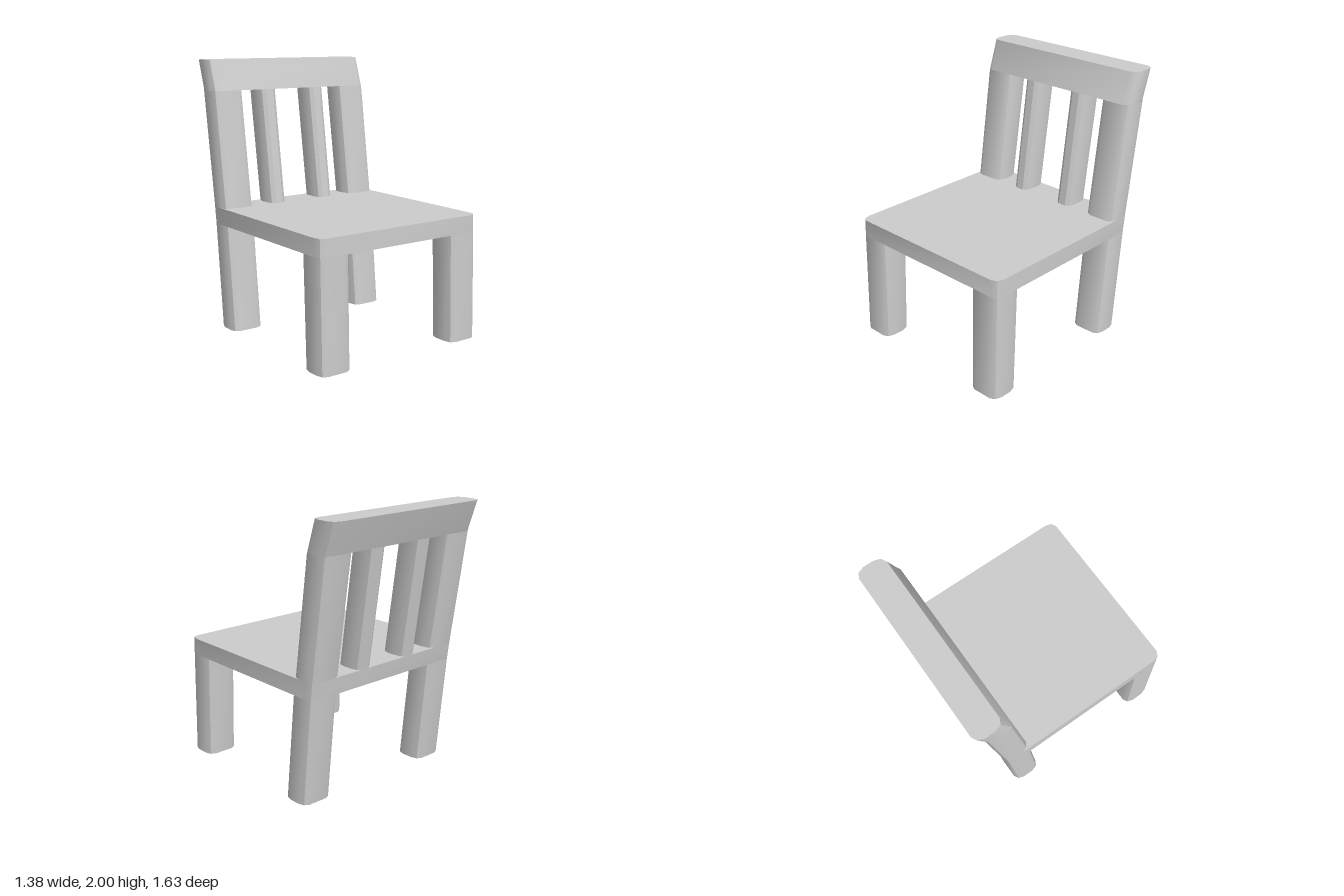
import * as THREE from 'three';
import { toCreasedNormals } from 'three/addons/utils/BufferGeometryUtils.js';

const material = new THREE.MeshStandardMaterial({ color: 0xcccccc, side: THREE.DoubleSide });

// Rectangle in plan with corners softened by two bends
function ring(x0, x1, z0, z1, y, rx, rz) {
  const cx = (x0 + x1) / 2, cz = (z0 + z1) / 2;
  const hx = (x1 - x0) / 2, hz = (z1 - z0) / 2;
  const corner = [[hx, hz - rz], [hx - 0.3 * rx, hz - 0.3 * rz], [hx - rx, hz]];
  const points = [];
  for (const [sx, sz] of [[1, 1], [-1, 1], [-1, -1], [1, -1]]) {
    const order = sx * sz > 0 ? corner : [...corner].reverse();
    for (const [x, z] of order) points.push([cx + sx * x, y, cz + sz * z]);
  }
  return points;
}

// Joins level cross-sections; levels are [y, zBack, zFront]
function loft(name, x0, x1, levels, rx, rz, capped) {
  const rings = levels.map(([y, z0, z1]) => ring(x0, x1, z0, z1, y, rx, rz));
  const n = rings[0].length, pos = [];
  const tri = (...corners) => corners.forEach((p) => pos.push(...p));
  for (let k = 0; k < rings.length - 1; k++) {
    for (let i = 0; i < n; i++) {
      const j = (i + 1) % n;
      const a = rings[k][i], b = rings[k][j], c = rings[k + 1][i], d = rings[k + 1][j];
      tri(a, c, b);
      tri(b, c, d);
    }
  }
  if (capped) {
    const bottom = rings[0], top = rings[rings.length - 1];
    for (let i = 1; i < n - 1; i++) {
      tri(bottom[0], bottom[i], bottom[i + 1]);
      tri(top[0], top[i + 1], top[i]);
    }
  }
  const geometry = new THREE.BufferGeometry();
  geometry.setAttribute('position', new THREE.Float32BufferAttribute(pos, 3));
  const mesh = new THREE.Mesh(toCreasedNormals(geometry, 0.55), material);
  mesh.name = name;
  return mesh;
}

export function createModel() {
  const chair = new THREE.Group();
  chair.name = 'chair';
  const W = 0.69;

  // Levels shared by the leaning back parts
  const floor = [0, -0.52, -0.305];
  const under = [0.79, -0.597, -0.385];
  const seatTop = [0.915, -0.613, -0.408];
  const railBase = [1.775, -0.74, -0.53];
  const railTop = [2, -0.815, -0.605];

  // Seat slab and top rail
  chair.add(loft('seat', -W, W, [[0.79, -0.597, 0.8], [0.915, -0.613, 0.795]], 0.05, 0.065, true));
  chair.add(loft('topRail', -W, W, [railBase, railTop], 0.055, 0.065, true));

  // Legs (open underneath), back posts and slats, mirrored left and right
  for (const [side, s] of [['left', 1], ['right', -1]]) {
    const add = (part, a, b, levels, rx, rz) =>
      chair.add(loft(side + part, Math.min(s * a, s * b), Math.max(s * a, s * b), levels, rx, rz, false));
    add('FrontLeg', 0.44, W, [[0, 0.6, 0.82], [0.79, 0.57, 0.8]], 0.05, 0.065);
    add('BackLeg', 0.44, W, [floor, under], 0.05, 0.065);
    add('BackPost', 0.44, W, [seatTop, railBase], 0.05, 0.065);
    add('Slat', 0.148, 0.287, [seatTop, railBase], 0.04, 0.065);
  }
  return chair;
}
